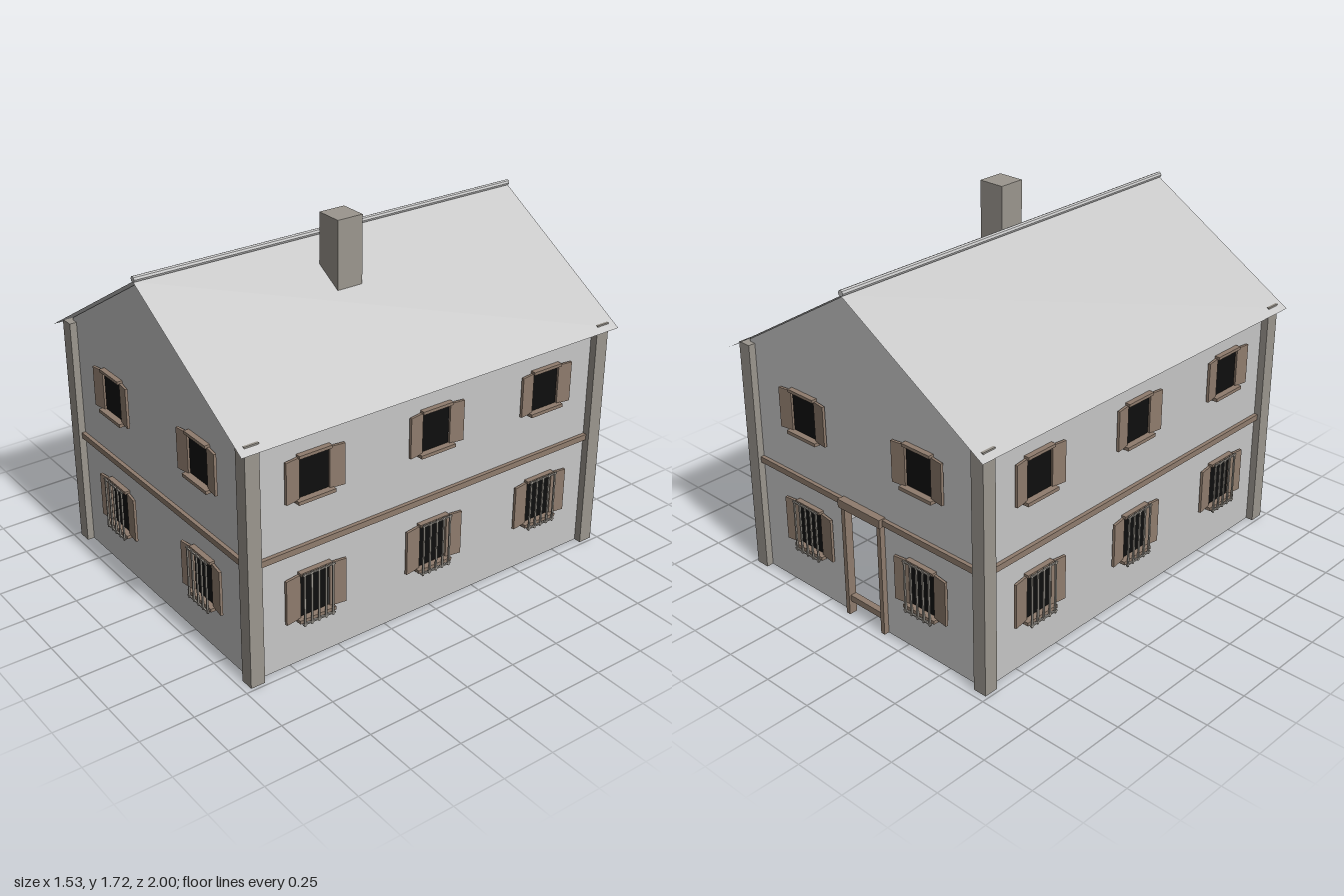
import * as THREE from 'three';

const mat = (name, color, side = THREE.FrontSide) => {
  const m = new THREE.MeshStandardMaterial({ color, side });
  m.name = name;
  return m;
};

export function createModel() {
  const plaster = mat('plaster grey', 0xc6c6c6, THREE.DoubleSide);
  const wood = mat('wood brown', 0x8f7c6d, THREE.DoubleSide);
  const stone = mat('stone grey', 0x9b968e);
  const glass = mat('window black', 0x0e0e0e);

  const house = new THREE.Group();
  house.name = 'house';

  const add = (parent, name, geo, material, x = 0, y = 0, z = 0) => {
    const m = new THREE.Mesh(geo, material);
    m.name = name;
    m.position.set(x, y, z);
    parent.add(m);
    return m;
  };
  // box given by its minimum and maximum on each axis
  const box = (parent, name, material, x0, x1, y0, y1, z0, z1) =>
    add(parent, name, new THREE.BoxGeometry(x1 - x0, y1 - y0, z1 - z0), material,
      (x0 + x1) / 2, (y0 + y1) / 2, (z0 + z1) / 2);

  const WX = 0.7, WZ = 0.935;              // wall planes
  const RX = 0.765, EAVE = 1.1, RIDGE = 1.56;
  const wallTop = RIDGE - (RIDGE - EAVE) * WX / RX - 0.002;
  const DOOR = 0.105, DOOR_TOP = 0.54;

  // gable walls, the back one with a doorway
  const gable = (door) => {
    const p = [[-WX, 0]];
    if (door) p.push([-DOOR, 0], [-DOOR, DOOR_TOP], [DOOR, DOOR_TOP], [DOOR, 0]);
    p.push([WX, 0], [WX, wallTop], [0, RIDGE - 0.002], [-WX, wallTop]);
    return new THREE.ShapeGeometry(new THREE.Shape(p.map(([x, y]) => new THREE.Vector2(x, y))));
  };
  add(house, 'frontWall', gable(false), plaster, 0, 0, WZ);
  add(house, 'backWall', gable(true), plaster, 0, 0, -WZ).rotation.y = Math.PI;

  // side walls
  for (const s of [1, -1]) {
    const wall = add(house, s > 0 ? 'leftWall' : 'rightWall',
      new THREE.PlaneGeometry(2 * WZ, wallTop), plaster, s * WX, wallTop / 2, 0);
    wall.rotation.y = s * Math.PI / 2;
  }

  // upper floor
  const floor = add(house, 'upperFloor', new THREE.PlaneGeometry(2 * WX, 2 * WZ), wood, 0, 0.555, 0);
  floor.rotation.x = -Math.PI / 2;

  // roof slopes, thin sheets
  const slopeLen = Math.hypot(RX, RIDGE - EAVE);
  for (const s of [1, -1]) {
    const geo = new THREE.PlaneGeometry(slopeLen, 2).rotateX(-Math.PI / 2);
    const slope = add(house, 'roofSlope', geo, plaster, s * RX / 2, (RIDGE + EAVE) / 2, 0);
    slope.rotation.z = -s * Math.atan2(RIDGE - EAVE, RX);
  }
  const cap = new THREE.CylinderGeometry(0.014, 0.014, 2, 8).rotateX(Math.PI / 2).toNonIndexed();
  cap.computeVertexNormals();
  add(house, 'ridgeCap', cap, plaster, 0, 1.57, 0);

  box(house, 'chimney', stone, 0.13, 0.26, 1.38, 1.715, 0.05, 0.178);

  // corner pillars
  for (const sx of [1, -1]) for (const sz of [1, -1])
    add(house, 'cornerPillar', new THREE.BoxGeometry(0.066, 1.125, 0.068), stone,
      sx * 0.702, 0.5625, sz * 0.934);

  // beams between the storeys
  for (const s of [1, -1]) {
    add(house, 'storeyBeam', new THREE.BoxGeometry(1.34, 0.028, 0.03), wood, 0, 0.56, s * (WZ + 0.003));
    add(house, 'storeyBeam', new THREE.BoxGeometry(0.03, 0.028, 1.8), wood, s * (WX + 0.003), 0.56, 0);
  }

  // door frame with raised threshold
  const door = new THREE.Group();
  door.name = 'doorFrame';
  door.position.z = -WZ;
  for (const s of [1, -1])
    add(door, 'doorJamb', new THREE.BoxGeometry(0.022, 0.56, 0.04), wood, s * 0.112, 0.28, -0.005);
  box(door, 'doorLintel', wood, -0.13, 0.13, 0.54, 0.58, -0.035, 0.015);
  box(door, 'doorThreshold', wood, -0.105, 0.105, 0.065, 0.095, -0.015, 0.015);
  house.add(door);

  // window facing +z, with its opening between y0 and y1
  const makeWindow = (y0, y1, barred) => {
    const g = new THREE.Group();
    g.name = barred ? 'barredWindow' : 'upperWindow';
    const h = y1 - y0, w = barred ? 0.078 : 0.07;
    box(g, 'windowPane', glass, -0.073, 0.073, y0, y1, 0.001, 0.005);
    box(g, 'windowLintel', wood, -0.08, 0.08, y1, y1 + 0.014, 0, 0.025);
    box(g, 'windowSill', wood, -0.092, 0.092, y0 - 0.016, y0, 0, 0.035);
    // shutters, slightly ajar
    for (const s of [1, -1]) {
      const hinge = new THREE.Group();
      hinge.name = 'shutter';
      hinge.position.set(s * 0.075, (y0 + y1) / 2, 0.008);
      hinge.rotation.y = -s * 0.14;
      add(hinge, 'shutterBoard', new THREE.BoxGeometry(w, h + 0.006, 0.012), wood, s * w / 2, 0, 0);
      g.add(hinge);
    }
    if (barred) {
      for (let i = -2; i <= 2; i++) {
        const x = i * 0.036;
        box(g, 'windowBar', stone, x - 0.004, x + 0.004, y0 - 0.03, y1 + 0.022, 0.036, 0.043);
        box(g, 'barFixing', stone, x - 0.004, x + 0.004, y0 - 0.024, y0 - 0.017, -0.008, 0.036);
      }
      for (const y of [y0 - 0.02, y1 + 0.014])
        box(g, 'crossBar', stone, -0.082, 0.082, y - 0.003, y + 0.003, 0.036, 0.043);
    }
    return g;
  };

  // windows on all four sides, two storeys each
  const place = (x, z, turn) => {
    for (const w of [makeWindow(0.796, 0.98, false), makeWindow(0.228, 0.434, true)]) {
      w.position.set(x, 0, z);
      w.rotation.y = turn;
      house.add(w);
    }
  };
  for (const x of [-0.352, 0.352]) {
    place(x, WZ, 0);
    place(x, -WZ, Math.PI);
  }
  for (const z of [0.627, 0, -0.623]) {
    place(WX, z, Math.PI / 2);
    place(-WX, z, -Math.PI / 2);
  }
  return house;
}
